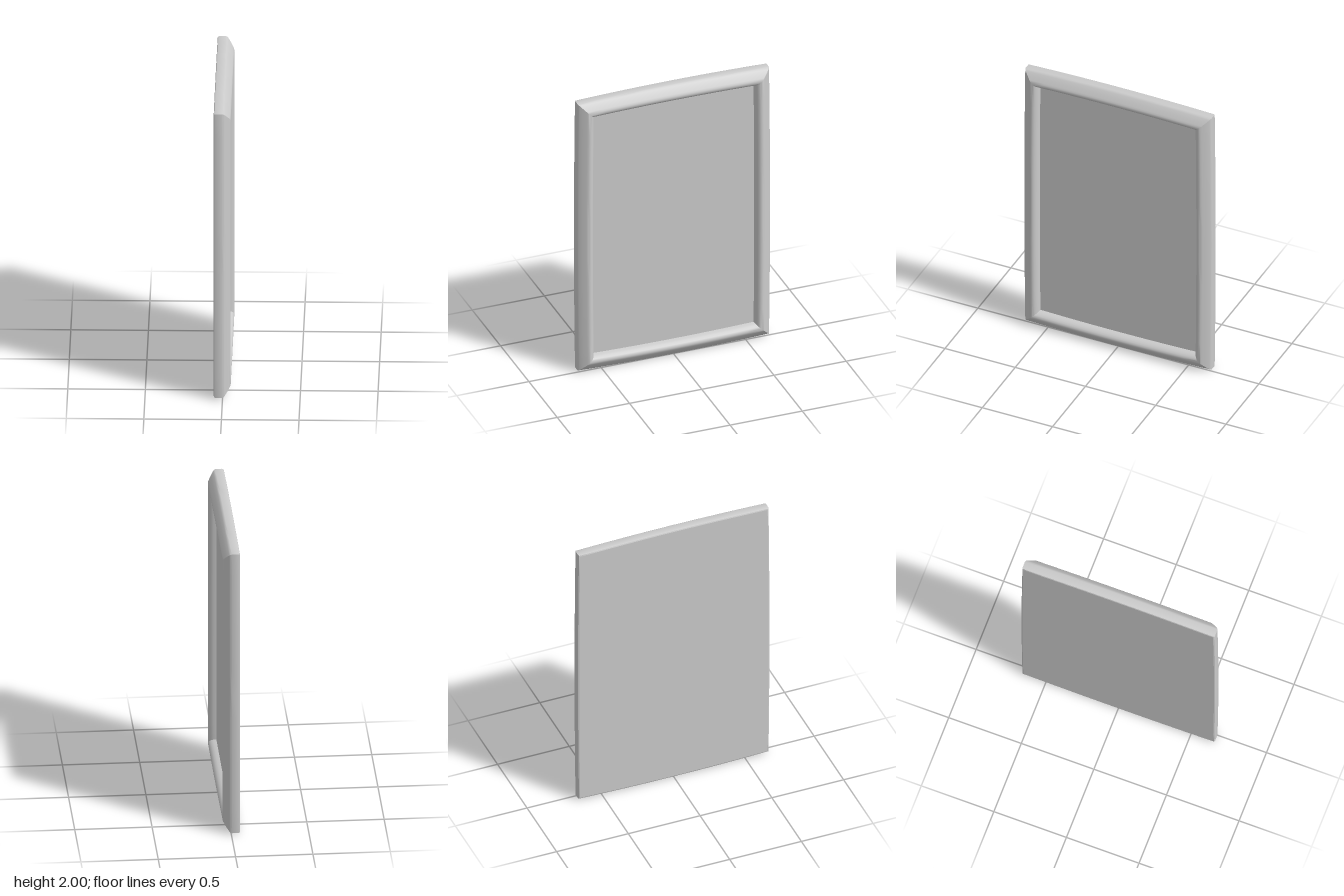
import * as THREE from 'three';
import { toCreasedNormals } from 'three/addons/utils/BufferGeometryUtils.js';

const HALF_W = 0.663, HALF_H = 0.988; // outer corners
const BOW_W = 0.007, BOW_H = 0.012;   // outward bow at the middle of each side
const STEPS = 12;                     // segments per side

// Moulding section: [inset from the outer edge, depth], from back edge to opening
const SECTION = [
  [0.010, -0.057], [0.003, -0.054], [0, -0.046], [0, -0.002], [0.003, 0.006], [0.010, 0.014],
  [0.030, 0.030], [0.050, 0.044], [0.060, 0.050], [0.068, 0.052], [0.078, 0.051],
  [0.088, 0.045], [0.097, 0.034], [0.104, 0.020], [0.108, 0.0],
];

// Bowed rectangle, counter-clockwise, moved in by an inset
function ring(inset) {
  const w = HALF_W - inset, h = HALF_H - inset, points = [];
  const fade = 1 - 3 * inset; // the opening is a little straighter
  for (let side = 0; side < 4; side++) {
    for (let i = 0; i < STEPS; i++) {
      const t = (2 * i) / STEPS - 1;
      const bow = (1 - t * t) * fade;
      const s = side < 2 ? 1 : -1;
      points.push(side % 2 === 0
        ? new THREE.Vector2(s * (w + BOW_W * bow), s * t * h)
        : new THREE.Vector2(-s * t * w, s * (h + BOW_H * bow)));
    }
  }
  return points;
}

// Sweep the section around the bowed outline with mitred corners
function frameGeometry() {
  const positions = [], index = [], n = STEPS * 4;
  for (const [inset, depth] of SECTION) {
    for (const p of ring(inset)) positions.push(p.x, p.y, depth);
  }
  for (let j = 0; j < SECTION.length - 1; j++) {
    for (let k = 0; k < n; k++) {
      const a = j * n + k, b = j * n + ((k + 1) % n);
      index.push(a, b, b + n, a, b + n, a + n);
    }
  }
  const geometry = new THREE.BufferGeometry();
  geometry.setAttribute('position', new THREE.Float32BufferAttribute(positions, 3));
  geometry.setIndex(index);
  return toCreasedNormals(geometry, 0.7);
}

export function createModel() {
  const group = new THREE.Group();
  group.name = 'framedPanel';
  const material = new THREE.MeshStandardMaterial({ color: 0xcccccc });

  const add = (name, geometry) => {
    geometry.rotateY(Math.PI / 2).translate(0, 1, 0); // face +x, stand on the ground
    const mesh = new THREE.Mesh(geometry, material);
    mesh.name = name;
    group.add(mesh);
  };

  // Rounded moulding
  add('frame', frameGeometry());

  // Recessed panel inside the opening
  const [panelInset, panelDepth] = SECTION[SECTION.length - 1];
  add('panel', new THREE.ShapeGeometry(new THREE.Shape(ring(panelInset))).translate(0, 0, panelDepth));

  // Flat back board
  const [backInset, backDepth] = SECTION[0];
  add('backBoard', new THREE.ShapeGeometry(new THREE.Shape(ring(backInset)))
    .rotateY(Math.PI).translate(0, 0, backDepth));

  return group;
}
